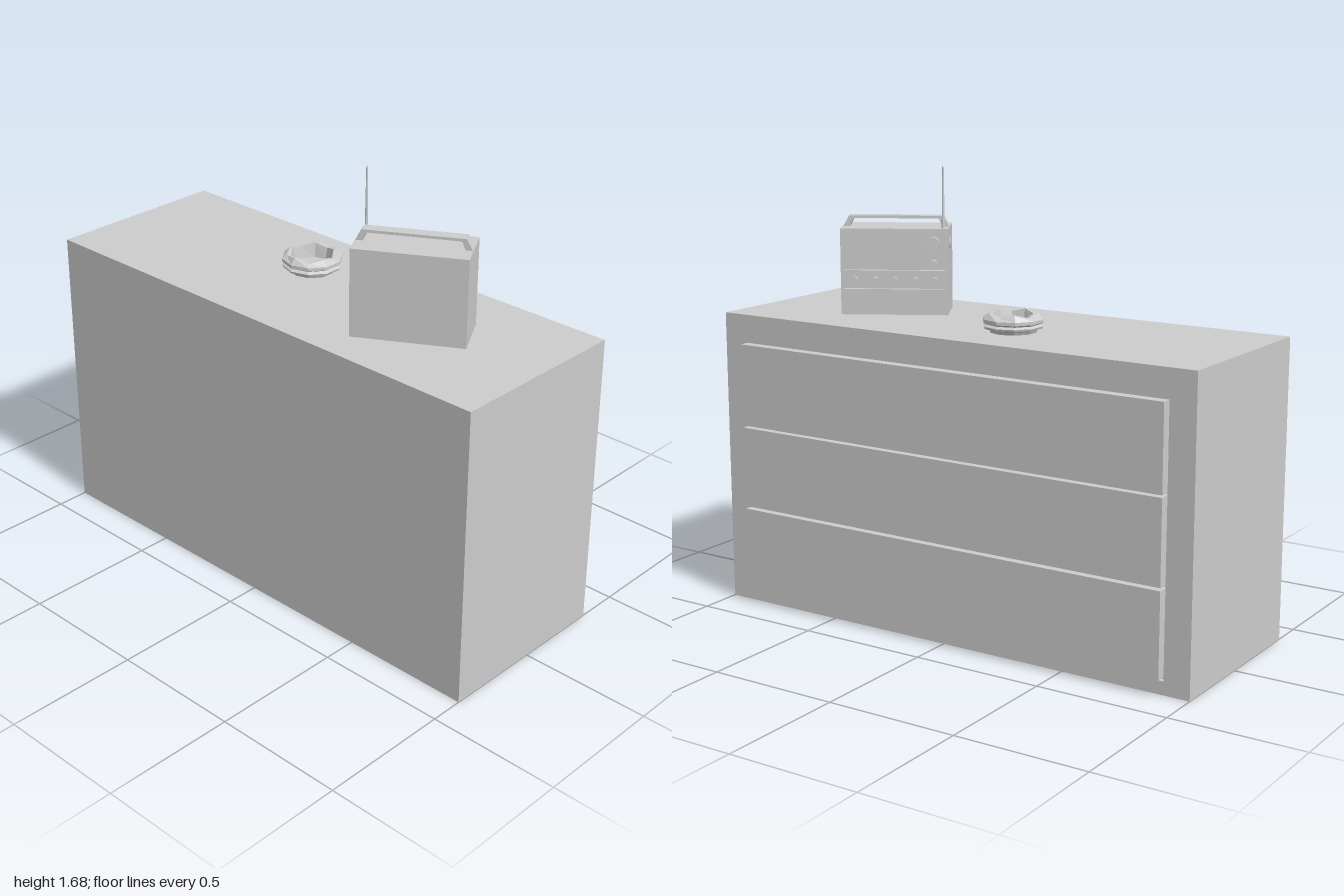
import * as THREE from 'three';

const mat = new THREE.MeshStandardMaterial({ color: 0xcccccc, flatShading: true, side: THREE.DoubleSide });

function add(parent, name, geometry, x = 0, y = 0, z = 0) {
  const mesh = new THREE.Mesh(geometry, mat);
  mesh.name = name;
  mesh.position.set(x, y, z);
  parent.add(mesh);
  return mesh;
}

const box = (w, h, d) => new THREE.BoxGeometry(w, h, d);
const corners = (x0, y0, x1, y1) => [[x0, y0], [x1, y0], [x1, y1], [x0, y1]].map(p => new THREE.Vector2(...p));

// Flat plate with rectangular openings, each given as [x0, y0, x1, y1]
function framePlate(outer, openings, depth) {
  const shape = new THREE.Shape(corners(...outer));
  for (const o of openings) shape.holes.push(new THREE.Path(corners(...o).reverse()));
  return new THREE.ExtrudeGeometry(shape, { depth, bevelEnabled: false });
}

// Chest of drawers, built facing +z and then turned to face +x
function createChest() {
  const chest = new THREE.Group();
  chest.name = 'chestOfDrawers';
  const front = 0.337, back = -0.375, recess = 0.02;
  const depth = front - recess - back;
  add(chest, 'cabinetBody', box(2, 1.127, depth), 0, 0.5635, back + depth / 2);
  add(chest, 'cabinetFrontFrame', framePlate([-1, 0, 1, 1.127], [[-0.9, 0.05, 0.9, 1.02]], recess), 0, 0, front - recess);
  for (const [y0, y1] of [[0.065, 0.377], [0.388, 0.697], [0.706, 1.019]]) {
    add(chest, 'drawerFront', box(1.798, y1 - y0, 0.055), 0, (y0 + y1) / 2, 0.3445);
  }
  chest.rotation.y = Math.PI / 2;
  return chest;
}

// Portable radio, its face towards local +z
function createRadio() {
  const radio = new THREE.Group();
  radio.name = 'radio';
  const w = 0.404, h = 0.325, d = 0.2, recess = 0.018;
  add(radio, 'radioBody', box(w, h, d - recess), 0, h / 2, -recess / 2);
  const openings = [[-0.19, 0.168, 0.19, 0.315], [-0.19, 0.097, 0.19, 0.16]];
  add(radio, 'radioFaceFrame', framePlate([-w / 2, 0, w / 2, h], openings, recess), 0, 0, d / 2 - recess);
  add(radio, 'faceTrim', box(0.004, 0.07, 0.003), -0.19, 0.05, d / 2);

  // Dials and buttons
  const knob = (name, x, y, r, length) => {
    const geometry = new THREE.CylinderGeometry(r, r, length, 16).rotateX(Math.PI / 2);
    add(radio, name, geometry, x, y, d / 2 - recess + length / 2);
  };
  for (let i = 0; i < 5; i++) knob('button', -0.15 + i * 0.075, 0.13, 0.012, 0.018);
  knob('tuningDial', 0.145, 0.268, 0.027, 0.022);
  knob('volumeDial', 0.145, 0.193, 0.015, 0.02);
  add(radio, 'sideDial', new THREE.CylinderGeometry(0.022, 0.022, 0.006, 16).rotateZ(Math.PI / 2), w / 2, 0.262, 0);

  // Carrying handle with sloping legs
  const profile = [[-0.2, 0], [-0.178, 0.04], [0.178, 0.04], [0.2, 0], [0.175, 0], [0.162, 0.03], [-0.162, 0.03], [-0.175, 0]];
  const shape = new THREE.Shape(profile.map(p => new THREE.Vector2(...p)));
  add(radio, 'carryingHandle', new THREE.ExtrudeGeometry(shape, { depth: 0.044, bevelEnabled: false }), 0, h, -0.022);

  // Aerial
  add(radio, 'aerial', new THREE.CylinderGeometry(0.003, 0.006, 0.23, 8), 0.183, h + 0.115, 0.073);

  radio.position.set(-0.057, 1.127, 0.48);
  radio.rotation.y = THREE.MathUtils.degToRad(120);
  return radio;
}

// Ten-sided ashtray, every other rim corner dipped
function createAshtray(parent) {
  const profile = [[0, 0], [0.085, 0], [0.09, 0.01], [0.108, 0.016], [0.111, 0.024], [0.099, 0.031],
    [0.112, 0.038], [0.112, 0.05], [0.093, 0.072], [0.08, 0.072], [0.07, 0.018], [0, 0.018]];
  const points = profile.map(p => new THREE.Vector2(...p));
  const geometry = new THREE.LatheGeometry(points, 10, Math.PI / 2);
  const pos = geometry.attributes.position;
  for (let i = 0; i < pos.count; i++) {
    const corner = Math.floor(i / points.length);
    if (corner % 2 === 0 && pos.getY(i) > 0.06) pos.setY(i, 0.06);
  }
  add(parent, 'ashtray', geometry, 0.077, 1.127, -0.13);
}

export function createModel() {
  const model = new THREE.Group();
  model.name = 'chestWithRadioAndAshtray';
  model.add(createChest(), createRadio());
  createAshtray(model);
  return model;
}
